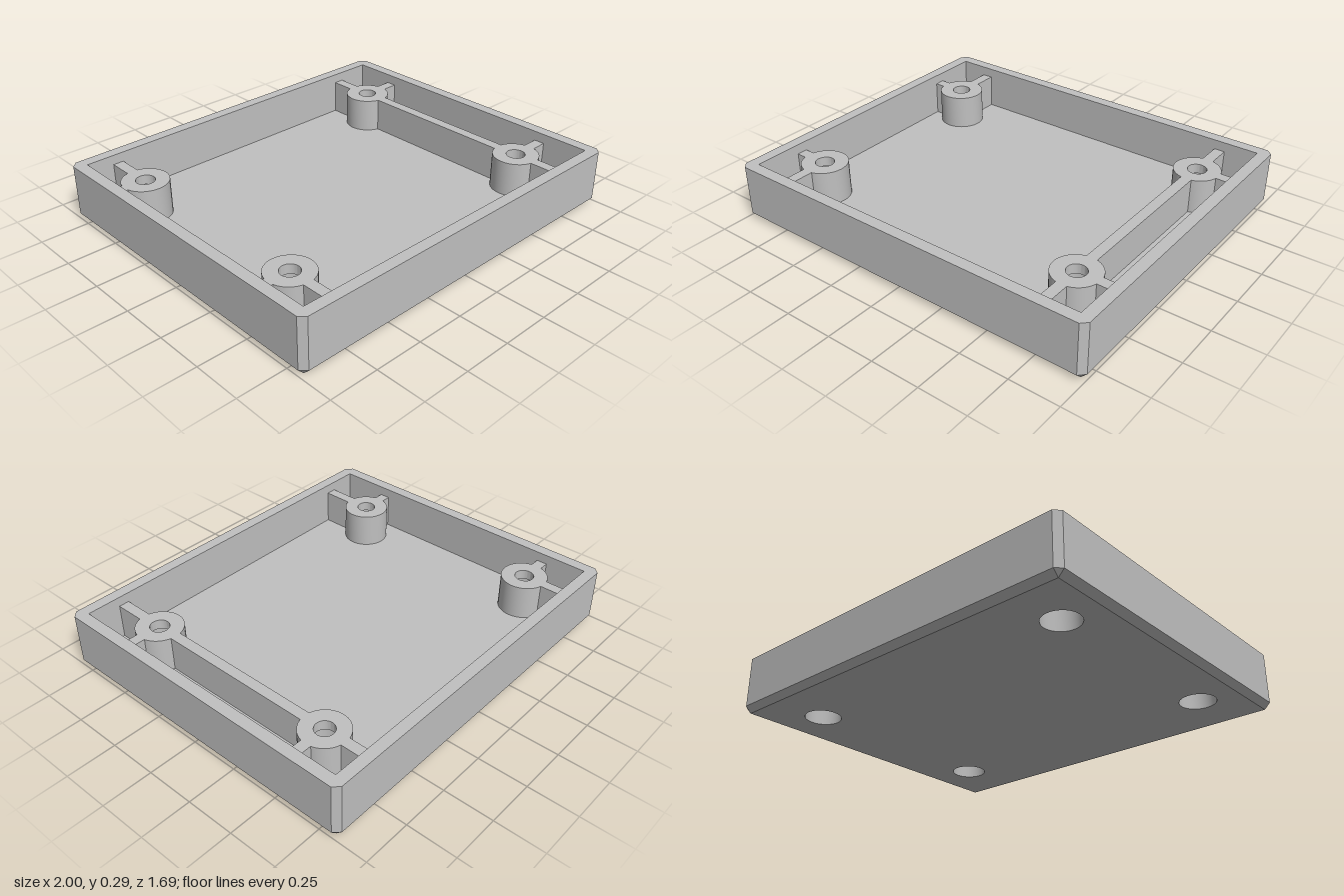
import * as THREE from 'three';
import { toCreasedNormals } from 'three/addons/utils/BufferGeometryUtils.js';

const W = 1, D = 0.847;            // outer half width and half depth
const IW = 0.94, ID = 0.788;       // inner half width and half depth
const C = 0.03, H = 0.29;          // chamfer, total height
const FLOOR = 0.06, TOP = 0.24;    // floor surface, post and rib height
const POST_R = 0.118, HOLE_R = 0.048, BORE_R = 0.09, LEDGE = 0.19, RIB = 0.055;
const XL = -0.773, XR = 0.74, ZB = -0.547, ZF = 0.516;
const POSTS = [[XL, ZB], [XR, ZB], [XL, ZF], [XR, ZF]];

// Eight-cornered outline, counter-clockwise in (x, y)
const octagon = (w, d, c) => [
  [w, -d + c], [w, d - c], [w - c, d], [-w + c, d],
  [-w, d - c], [-w, -d + c], [-w + c, -d], [w - c, -d],
].map(([x, y]) => new THREE.Vector2(x, y));

const rectangle = (w, d) => [[w, -d], [w, d], [-w, d], [-w, -d]].map(([x, y]) => new THREE.Vector2(x, y));

// Rectangle pierced by a round opening at each post; side = 1 keeps y as z, -1 flips it
function piercedPlate(w, d, r, side) {
  const shape = new THREE.Shape(rectangle(w, d));
  for (const [x, z] of POSTS) {
    shape.holes.push(new THREE.Path().absarc(x, side * z, r, 0, Math.PI * 2, true));
  }
  return new THREE.ShapeGeometry(shape, 24).rotateX(side * Math.PI / 2);
}

// Sloping strip between the bottom rectangle and the chamfered outline
function chamferBand() {
  const low = [], high = octagon(W, D, C), pos = [];
  for (const p of high) low.push([Math.sign(p.x) * (W - C), Math.sign(p.y) * (D - C)]);
  for (let i = 0; i < 8; i++) {
    const j = (i + 1) % 8;
    const a = [low[i][0], 0, -low[i][1]], b = [low[j][0], 0, -low[j][1]];
    const c = [high[j].x, C, -high[j].y], d = [high[i].x, C, -high[i].y];
    if (i % 2 === 0) pos.push(...a, ...b, ...c);   // corners are single triangles
    pos.push(...a, ...c, ...d);
  }
  const g = new THREE.BufferGeometry();
  g.setAttribute('position', new THREE.Float32BufferAttribute(pos, 3));
  g.computeVertexNormals();
  return g;
}

export function createModel() {
  const model = new THREE.Group();
  model.name = 'enclosureTray';
  const grey = new THREE.MeshStandardMaterial({ color: 0xc0c0c0 });
  grey.name = 'grey plastic';

  const add = (name, geometry, x = 0, y = 0, z = 0) => {
    const mesh = new THREE.Mesh(geometry, grey);
    mesh.name = name;
    mesh.position.set(x, y, z);
    model.add(mesh);
  };

  // Rim walls
  const frame = new THREE.Shape(octagon(W, D, C));
  frame.holes.push(new THREE.Path(rectangle(IW, ID).reverse()));
  const walls = new THREE.ExtrudeGeometry(frame, { depth: H - C, bevelEnabled: false });
  add('walls', walls.rotateX(-Math.PI / 2), 0, C, 0);

  // Floor: upper face, underside and chamfered lower edge
  add('floor', piercedPlate(IW, ID, POST_R - 0.005, -1), 0, FLOOR, 0);
  add('underside', piercedPlate(W - C, D - C, BORE_R, 1));
  add('lowerChamfer', chamferBand());

  // Screw posts, counterbored from below
  const profile = [
    [POST_R, FLOOR], [POST_R, TOP], [HOLE_R, TOP], [HOLE_R, LEDGE], [BORE_R, LEDGE], [BORE_R, 0],
  ].map(([r, y]) => new THREE.Vector2(r, y));
  const post = toCreasedNormals(new THREE.LatheGeometry(profile, 48), 0.6);
  for (const [x, z] of POSTS) add('screwPost', post, x, 0, z);

  // Ribs tying the posts to the walls and to each other
  const gap = POST_R - 0.006, h = TOP - FLOOR, y = (TOP + FLOOR) / 2;
  const ribX = (x0, x1, z) => add('rib', new THREE.BoxGeometry(x1 - x0, h, RIB), (x0 + x1) / 2, y, z);
  const ribZ = (z0, z1, x) => add('rib', new THREE.BoxGeometry(RIB, h, z1 - z0), x, y, (z0 + z1) / 2);
  for (const z of [ZB, ZF]) {
    ribX(-IW, XL - gap, z);
    ribX(XR + gap, IW, z);
  }
  for (const x of [XL, XR]) {
    ribZ(-ID, ZB - gap, x);
    ribZ(ZF + gap, ID, x);
  }
  ribZ(ZB + gap, ZF - gap, XR);

  return model;
}
